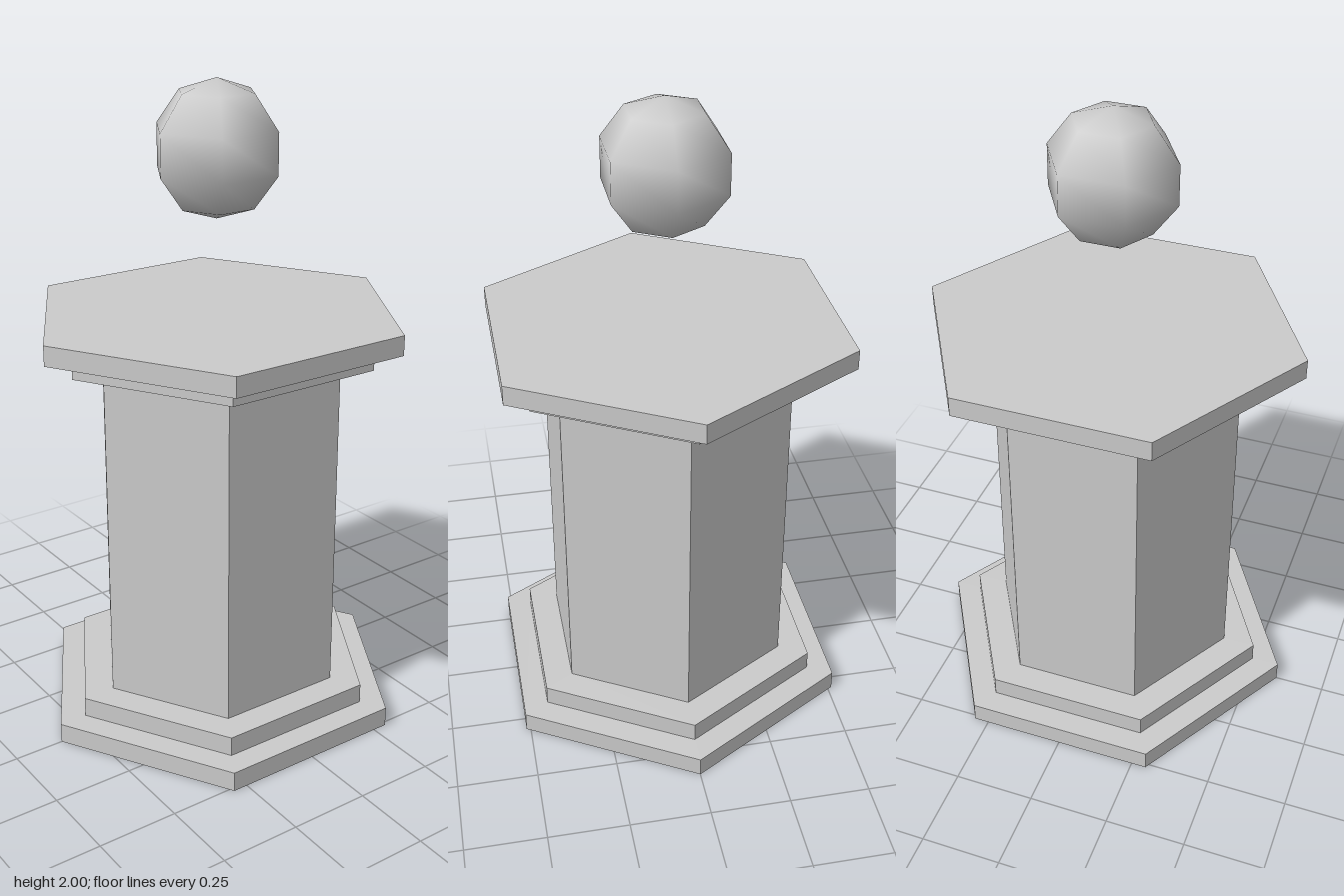
import * as THREE from 'three';

const SIDES = 6;

export function createModel() {
  const group = new THREE.Group();
  group.name = 'pedestalWithOrb';

  const stone = new THREE.MeshStandardMaterial({
    color: 0xcccccc, flatShading: true, side: THREE.DoubleSide,
  });
  const smooth = new THREE.MeshStandardMaterial({ color: 0xcccccc });

  // Each part is a six-sided shell turned from a [radius, height] profile
  const addShell = (name, profile) => {
    const points = profile.map(([r, y]) => new THREE.Vector2(r, y));
    const mesh = new THREE.Mesh(
      new THREE.LatheGeometry(points, SIDES, Math.PI / 2), stone);
    mesh.name = name;
    group.add(mesh);
  };

  // Stepped foot, hollow and open underneath
  addShell('base', [[0.593, 0], [0.593, 0.063], [0.505, 0.063], [0.505, 0.125], [0.402, 0.125]]);

  // Hollow shaft
  addShell('column', [[0.402, 0.125], [0.402, 1.19]]);

  // Stepped cap, closed on top
  addShell('capital', [[0.402, 1.19], [0.505, 1.19], [0.505, 1.248], [0.593, 1.248], [0.593, 1.31], [0, 1.31]]);

  // Floating orb
  const orb = new THREE.Mesh(new THREE.SphereGeometry(0.205, SIDES, 5), smooth);
  orb.name = 'orb';
  orb.position.y = 1.795;
  group.add(orb);

  return group;
}
